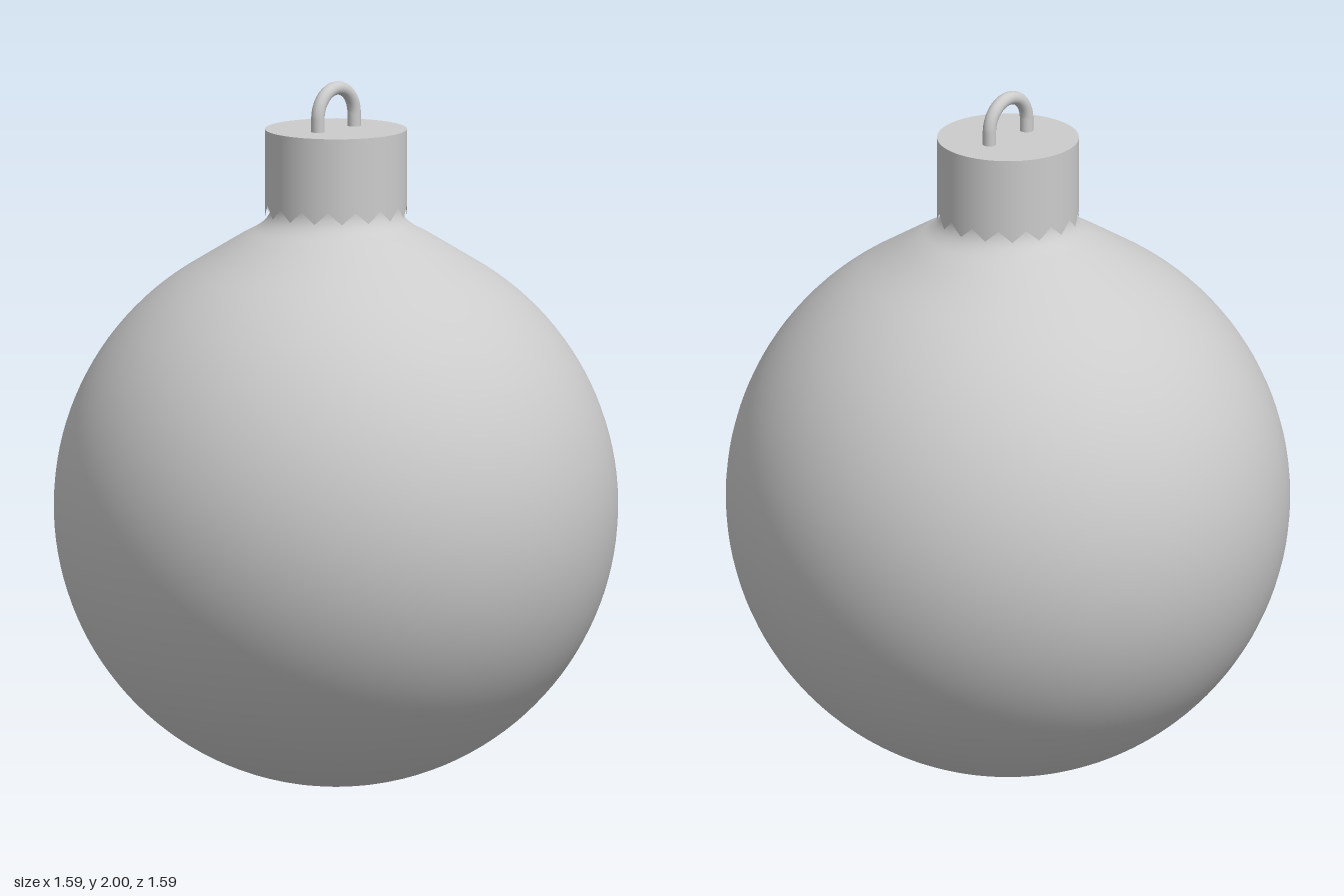
import * as THREE from 'three';

const R = 0.795; // ball radius
const CAP_R = 0.2, CAP_TOP = 1.865, CAP_BOTTOM = 1.62;
const TEETH = 16, TOOTH_DEPTH = 0.033;

export function createModel() {
  const group = new THREE.Group();
  const grey = new THREE.MeshStandardMaterial({ color: 0xcccccc });
  const thin = new THREE.MeshStandardMaterial({ color: 0xcccccc, side: THREE.DoubleSide });
  const add = (name, geometry, material = grey) => {
    const mesh = new THREE.Mesh(geometry, material);
    mesh.name = name;
    group.add(mesh);
    return mesh;
  };

  // Ball: circular arc that sweeps up into a short neck
  const profile = [];
  const arcEnd = Math.PI - Math.asin(0.4 / R);
  for (let i = 0; i <= 56; i++) {
    const a = (arcEnd * i) / 56;
    profile.push(new THREE.Vector2(R * Math.sin(a), R - R * Math.cos(a)));
  }
  const flare = new THREE.SplineCurve([
    profile[profile.length - 1],
    new THREE.Vector2(0.275, 1.558),
    new THREE.Vector2(0.215, 1.592),
    new THREE.Vector2(0.187, 1.625),
    new THREE.Vector2(0.18, 1.67),
    new THREE.Vector2(0.18, 1.75),
  ]);
  profile.push(...flare.getPoints(24).slice(1));
  add('ball', new THREE.LatheGeometry(profile, 96), thin);

  // Cap skirt: open cylinder whose lower edge is cut into teeth
  const height = CAP_TOP - CAP_BOTTOM;
  const skirt = new THREE.CylinderGeometry(CAP_R, CAP_R, height, TEETH * 4, 1, true);
  const pos = skirt.attributes.position;
  for (let i = 0; i < pos.count; i++) {
    if (pos.getY(i) > 0) continue;
    const phase = (i % (TEETH * 4 + 1)) % 4; // 0 is a tip, 2 is a notch
    const lift = 1 - Math.abs(phase - 2) / 2;
    pos.setY(i, -height / 2 + lift * TOOTH_DEPTH);
  }
  add('capSkirt', skirt, thin).position.y = CAP_BOTTOM + height / 2;

  // Cap top disc
  const lid = add('capTop', new THREE.CircleGeometry(CAP_R, TEETH * 4), thin);
  lid.rotation.x = -Math.PI / 2;
  lid.position.y = CAP_TOP;

  // Hanging loop: half ring on two short legs
  const loopR = 0.079, wireR = 0.019, loopY = 2 - loopR - wireR;
  const ring = add('loopArch', new THREE.TorusGeometry(loopR, wireR, 16, 40, Math.PI));
  ring.position.y = loopY;
  const legBottom = CAP_TOP - 0.02;
  for (const side of [-1, 1]) {
    const leg = add('loopLeg', new THREE.CylinderGeometry(wireR, wireR, loopY - legBottom, 16, 1, true));
    leg.position.set(side * loopR, (loopY + legBottom) / 2, 0);
  }

  return group;
}
